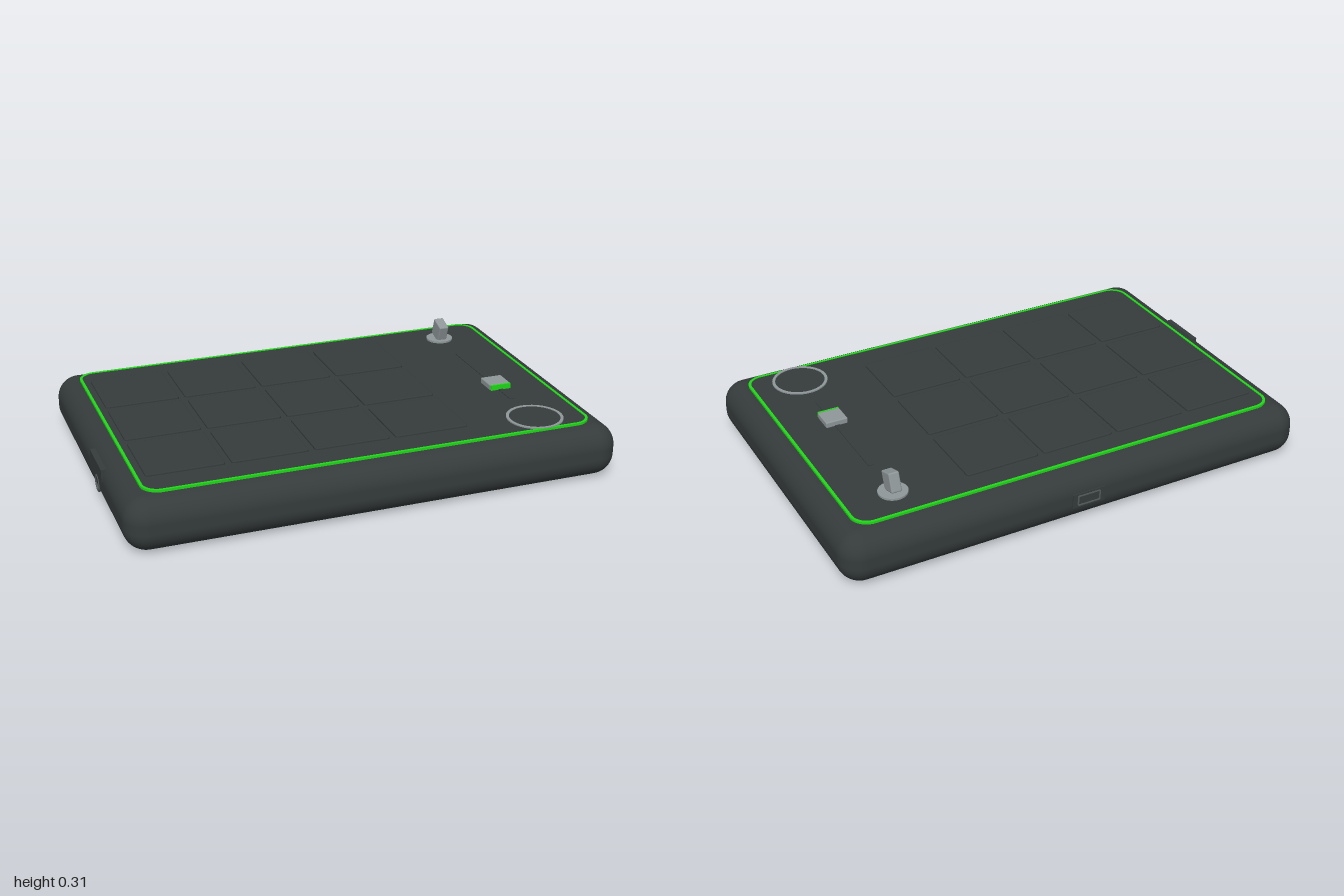
import * as THREE from 'three';
import { RoundedBoxGeometry } from 'three/addons/geometries/RoundedBoxGeometry.js';

const mat = (name, color) => {
  const m = new THREE.MeshStandardMaterial({ color });
  m.name = name;
  return m;
};

// Rounded rectangle outline centred on the origin
function roundedRect(Type, w, h, r) {
  const s = new Type(), x = w / 2, y = h / 2;
  s.moveTo(-x + r, -y);
  s.lineTo(x - r, -y);
  s.absarc(x - r, -y + r, r, -Math.PI / 2, 0, false);
  s.lineTo(x, y - r);
  s.absarc(x - r, y - r, r, 0, Math.PI / 2, false);
  s.lineTo(-x + r, y);
  s.absarc(-x + r, y - r, r, Math.PI / 2, Math.PI, false);
  s.lineTo(-x, -y + r);
  s.absarc(-x + r, -y + r, r, Math.PI, Math.PI * 1.5, false);
  return s;
}

// Extruded outline, laid flat with its underside at y = 0
const flatPlate = (shape, depth) =>
  new THREE.ExtrudeGeometry(shape, { depth, bevelEnabled: false, curveSegments: 12 }).rotateX(-Math.PI / 2);

export function createModel() {
  const model = new THREE.Group();
  model.name = 'padController';

  const charcoal = mat('charcoal', 0x353b3b);
  const green = mat('green', 0x20d818);
  const grey = mat('grey', 0x8f9799);
  const darkGrey = mat('darkGrey', 0x555b5c);

  const add = (name, geometry, material, x, y, z, parent = model) => {
    const m = new THREE.Mesh(geometry, material);
    m.name = name;
    m.position.set(x, y, z);
    parent.add(m);
    return m;
  };

  // Soft-edged case
  add('body', new RoundedBoxGeometry(1.994, 0.215, 1.35, 6, 0.09), charcoal, 0, 0.1075, 0);

  // Face panel with a thin green border
  const border = roundedRect(THREE.Shape, 1.824, 1.184, 0.07);
  border.holes.push(roundedRect(THREE.Path, 1.802, 1.162, 0.06));
  add('panelBorder', flatPlate(border, 0.011), green, 0, 0.213, 0);
  add('facePanel', flatPlate(roundedRect(THREE.Shape, 1.802, 1.162, 0.06), 0.009), charcoal, 0, 0.213, 0);

  // Grid of pads
  const pads = new THREE.Group();
  pads.name = 'pads';
  model.add(pads);
  const padGeometry = new THREE.ExtrudeGeometry(roundedRect(THREE.Shape, 0.298, 0.292, 0.008), {
    depth: 0.008, bevelEnabled: true, bevelThickness: 0.003, bevelSize: 0.004, bevelSegments: 2, curveSegments: 4,
  }).rotateX(-Math.PI / 2);
  for (let row = 0; row < 3; row++)
    for (let col = 0; col < 4; col++)
      add('pad', padGeometry, charcoal, -0.722 + col * 0.33, 0.219, -0.342 + row * 0.33, pads);

  // Lever switch on a flat round washer
  const X = 0.708;
  add('switchWasher', new THREE.CylinderGeometry(0.058, 0.058, 0.012, 32), grey, X, 0.224, -0.45);
  const lever = add('switchLever', new RoundedBoxGeometry(0.043, 0.078, 0.073, 2, 0.006), grey, X, 0.268, -0.443);
  lever.rotation.x = 0.32;

  // Slider: track, cap and green pointer edge
  add('sliderTrack', new THREE.BoxGeometry(0.02, 0.004, 0.53), charcoal, X, 0.223, 0.015);
  add('sliderCap', new RoundedBoxGeometry(0.092, 0.026, 0.09, 2, 0.005), grey, X, 0.232, 0.122);
  add('sliderPointer', new THREE.BoxGeometry(0.088, 0.022, 0.009), green, X, 0.233, 0.17);

  // Touch dial: dark disc in a grey ring
  const ring = new THREE.Shape().absarc(0, 0, 0.114, 0, Math.PI * 2, false);
  ring.holes.push(new THREE.Path().absarc(0, 0, 0.102, 0, Math.PI * 2, true));
  add('dialRing', new THREE.ExtrudeGeometry(ring, { depth: 0.007, bevelEnabled: false, curveSegments: 32 })
    .rotateX(-Math.PI / 2), grey, X, 0.22, 0.477);
  add('dialFace', new THREE.CylinderGeometry(0.102, 0.102, 0.005, 48), charcoal, X, 0.222, 0.477);

  // Rear port: thin frame around a dark opening
  const frame = roundedRect(THREE.Shape, 0.1, 0.045, 0.006);
  frame.holes.push(roundedRect(THREE.Path, 0.09, 0.035, 0.004));
  add('portPlate', new THREE.BoxGeometry(0.14, 0.06, 0.01), charcoal, 0, 0.105, -0.674);
  add('portFrame', new THREE.ExtrudeGeometry(frame, { depth: 0.006, bevelEnabled: false }), darkGrey, 0, 0.105, -0.682);

  // Right side: raised switch plate and round socket
  add('sidePlate', new THREE.BoxGeometry(0.03, 0.05, 0.2), charcoal, -0.985, 0.155, 0.17);
  add('socketRing', new THREE.TorusGeometry(0.03, 0.006, 8, 24).rotateY(Math.PI / 2), darkGrey, -0.994, 0.08, 0.17);
  return model;
}
